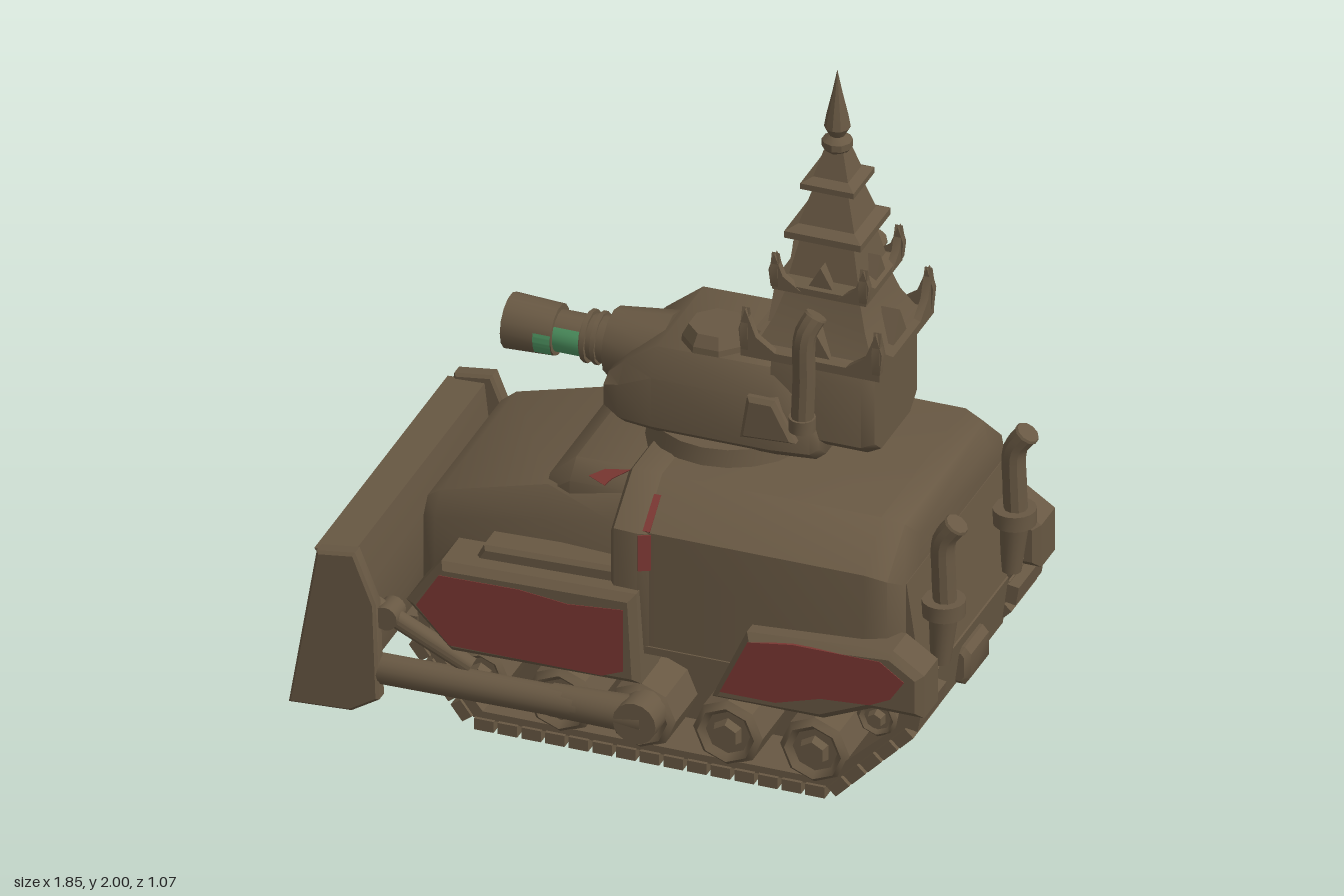
import * as THREE from 'three';
import { toCreasedNormals } from 'three/addons/utils/BufferGeometryUtils.js';

const paint = (name, color) => {
  const m = new THREE.MeshStandardMaterial({ color });
  m.name = name;
  return m;
};

export function createModel() {
  const root = new THREE.Group();
  root.name = 'bulldozerTank';
  const brown = paint('drabBrown', 0x685843);
  const red = paint('fadedRed', 0x7c3833);
  const green = paint('patinaGreen', 0x4f9562);

  const add = (name, geo, x = 0, y = 0, z = 0, mat = brown, crease = 0.6) => {
    const m = new THREE.Mesh(toCreasedNormals(geo, crease), mat);
    m.name = name;
    m.position.set(x, y, z);
    root.add(m);
    return m;
  };
  const box = (name, w, h, d, x, y, z, mat) => add(name, new THREE.BoxGeometry(w, h, d), x, y, z, mat);
  const shapeOf = (pts) => new THREE.Shape(pts.map((p) => new THREE.Vector2(p[0], p[1])));
  // side outline in x, y; width d centred on z
  const prism = (name, pts, d, z = 0, bevel = 0, mat = brown) => {
    const geo = new THREE.ExtrudeGeometry(shapeOf(pts), {
      depth: d - 2 * bevel, bevelEnabled: bevel > 0, bevelThickness: bevel,
      bevelSize: bevel, bevelOffset: -bevel, bevelSegments: 1,
    });
    geo.translate(0, 0, -d / 2 + bevel);
    return add(name, geo, 0, 0, z, mat);
  };
  // cylinder between two points
  const rod = (name, a, b, r0, r1 = r0, sides = 16, mat = brown) => {
    const A = new THREE.Vector3(...a), B = new THREE.Vector3(...b), dir = B.clone().sub(A);
    const m = add(name, new THREE.CylinderGeometry(r1, r0, dir.length(), sides), 0, 0, 0, mat);
    m.position.copy(A).add(B).multiplyScalar(0.5);
    m.quaternion.setFromUnitVectors(new THREE.Vector3(0, 1, 0), dir.normalize());
    return m;
  };
  // body lofted along x; station = [x, halfWidth, topHalfWidth, bottom, shoulder, top]
  const loft = (name, stations) => {
    const rings = stations.map(([x, w, t, b, s, h]) => [
      [x, h, t], [x, s, w], [x, b + 0.04, w], [x, b, w - 0.05],
      [x, b, 0.05 - w], [x, b + 0.04, -w], [x, s, -w], [x, h, -t]]);
    const pos = [];
    const tri = (a, b, c) => pos.push(...a, ...b, ...c);
    for (let i = 0; i + 1 < rings.length; i++) {
      for (let j = 0; j < 8; j++) {
        const k = (j + 1) % 8, p = rings[i], q = rings[i + 1];
        tri(p[j], p[k], q[k]);
        tri(p[j], q[k], q[j]);
      }
    }
    const first = rings[0], last = rings[rings.length - 1];
    for (let j = 1; j < 7; j++) {
      tri(first[0], first[j + 1], first[j]);
      tri(last[0], last[j], last[j + 1]);
    }
    const geo = new THREE.BufferGeometry();
    geo.setAttribute('position', new THREE.Float32BufferAttribute(pos, 3));
    return add(name, geo, 0, 0, 0, brown, 0.8);
  };

  // hull
  prism('lowerHull', [[-0.42, 0.05], [0.68, 0.05], [0.82, 0.2], [0.84, 0.35], [0.78, 0.42], [-0.58, 0.42], [-0.6, 0.28]], 0.55);
  prism('tailPlate', [[0.7, 0.345], [0.838, 0.345], [0.792, 0.66], [0.7, 0.66]], 0.72);
  loft('frontHull', [[-0.62, 0.3, 0.27, 0.26, 0.54, 0.585], [-0.58, 0.32, 0.28, 0.26, 0.55, 0.615],
    [-0.27, 0.335, 0.28, 0.26, 0.62, 0.7], [-0.05, 0.36, 0.28, 0.3, 0.67, 0.75], [0.06, 0.36, 0.28, 0.3, 0.67, 0.77]]);
  loft('engineBonnet', [[-0.28, 0.27, 0.24, 0.58, 0.67, 0.71], [-0.2, 0.3, 0.25, 0.6, 0.735, 0.785], [0.02, 0.3, 0.25, 0.6, 0.74, 0.79]]);
  loft('hullCollar', [[-0.03, 0.43, 0.3, 0.32, 0.69, 0.8], [-0.015, 0.45, 0.31, 0.3, 0.71, 0.82],
    [0.055, 0.455, 0.31, 0.3, 0.71, 0.822], [0.087, 0.438, 0.3, 0.32, 0.705, 0.812]]);
  loft('rearHull', [[0.07, 0.44, 0.31, 0.32, 0.71, 0.82], [0.7, 0.44, 0.31, 0.32, 0.71, 0.82],
    [0.76, 0.42, 0.29, 0.33, 0.69, 0.8], [0.79, 0.37, 0.25, 0.35, 0.66, 0.755]]);
  prism('rearHatch', [[0.8, 0.2], [0.845, 0.2], [0.862, 0.225], [0.862, 0.295], [0.845, 0.315], [0.8, 0.315]], 0.16, 0, 0.015);

  const beltLoop = [[-0.42, 0.035], [0.6, 0.035], [0.83, 0.27], [0.84, 0.33], [0.78, 0.36], [-0.5, 0.36], [-0.58, 0.33], [-0.58, 0.25]];
  const hole = beltLoop.map(([x, y]) => [0.12 + (x - 0.12) * 0.95, 0.2 + (y - 0.2) * 0.86]);
  for (const s of [-1, 1]) {
    // track belt and pads
    const belt = shapeOf(beltLoop);
    belt.holes.push(shapeOf(hole));
    add('trackBelt', new THREE.ExtrudeGeometry(belt, { depth: 0.17, bevelEnabled: false }).translate(0, 0, -0.085), 0, 0, s * 0.36);
    beltLoop.forEach((a, i) => {
      const b = beltLoop[(i + 1) % beltLoop.length];
      const dx = b[0] - a[0], dy = b[1] - a[1], len = Math.hypot(dx, dy), n = Math.max(1, Math.round(len / 0.068));
      for (let k = 0; k < n && i !== 4; k++) {
        const t = (k + 0.5) / n;
        const pad = box('trackPad', 0.056, 0.034, 0.19, a[0] + dx * t + dy / len * 0.014, a[1] + dy * t - dx / len * 0.014, s * 0.36);
        pad.rotation.z = Math.atan2(dy, dx);
      }
    });
    // road wheels with raised rims and hubs
    for (const [x, y, r] of [[-0.4, 0.17, 0.08], [-0.17, 0.14, 0.1], [0.06, 0.14, 0.1], [0.31, 0.14, 0.1], [0.56, 0.14, 0.1], [0.74, 0.28, 0.06]]) {
      rod('roadWheel', [x, y, s * 0.28], [x, y, s * 0.44], r, r, 8);
      add('wheelRim', new THREE.TorusGeometry(r * 0.82, r * 0.18, 4, 8), x, y, s * 0.44);
      rod('wheelHub', [x, y, s * 0.43], [x, y, s * 0.465], r * 0.48, r * 0.36, 6);
    }
    // fenders with painted panels
    prism('frontFender', [[-0.6, 0.38], [-0.5, 0.52], [0.06, 0.535], [0.075, 0.26], [-0.47, 0.25]], 0.17, s * 0.41, 0.02);
    prism('frontFenderPaint', [[-0.565, 0.38], [-0.5, 0.485], [-0.27, 0.49], [-0.13, 0.475], [0.03, 0.49], [0.03, 0.3], [-0.03, 0.275], [-0.47, 0.275]], 0.008, s * 0.493, 0, red);
    prism('rearFender', [[0.28, 0.27], [0.38, 0.49], [0.8, 0.52], [0.89, 0.46], [0.89, 0.33], [0.74, 0.33], [0.6, 0.27]], 0.14, s * 0.43, 0.02);
    prism('rearFenderPaint', [[0.31, 0.3], [0.39, 0.47], [0.52, 0.49], [0.77, 0.49], [0.84, 0.44], [0.8, 0.38], [0.74, 0.35], [0.6, 0.34], [0.47, 0.3]], 0.008, s * 0.498, 0, red);
    prism('fenderBox', [[-0.43, 0.5], [-0.4, 0.56], [0.05, 0.575], [0.05, 0.5]], 0.1, s * 0.38, 0.012);
    // paint worn onto the rear lip of the collar
    box('collarPaint', 0.036, 0.11, 0.006, 0.072, 0.65, s * 0.446, red).rotation.y = s * 0.49;
    box('collarShoulderPaint', 0.024, 0.11, 0.008, 0.073, 0.745, s * 0.396, red).rotation.x = -s * 0.91;

    // dozer arms
    rod('dozerArm', [-0.7, 0.155, s * 0.485], [0.09, 0.165, s * 0.485], 0.043);
    rod('dozerArmSleeve', [-0.18, 0.16, s * 0.48], [0.09, 0.165, s * 0.48], 0.046, 0.053);
    rod('armPivot', [0.075, 0.165, s * 0.43], [0.075, 0.165, s * 0.53], 0.062);
    rod('armStrut', [-0.72, 0.36, s * 0.48], [-0.42, 0.2, s * 0.46], 0.026);
    rod('strutJoint', [-0.65, 0.325, s * 0.44], [-0.65, 0.325, s * 0.51], 0.035);
    prism('bladeEndPlate', [[-0.92, 0.02], [-0.84, 0.505], [-0.73, 0.52], [-0.67, 0.37], [-0.66, 0.08], [-0.74, 0.03]], 0.05, s * 0.505, 0.008);

    // exhaust stacks at the rear and on the turret
    const pipe = (name, pts, r) => {
      add(name, new THREE.TubeGeometry(new THREE.CatmullRomCurve3(pts.map((p) => new THREE.Vector3(...p))), 14, r, 10));
      const end = pts[pts.length - 1], prev = pts[pts.length - 2];
      rod(name + 'Mouth', end, end.map((v, i) => v + (v - prev[i]) * 0.12), r * 1.1, r, 10);
    };
    pipe('rearExhaust', [[0.865, 0.54, s * 0.26], [0.86, 0.65, s * 0.26], [0.862, 0.76, s * 0.26], [0.895, 0.81, s * 0.26]], 0.033);
    rod('exhaustCollar', [0.86, 0.53, s * 0.26], [0.86, 0.575, s * 0.26], 0.06);
    rod('exhaustElbow', [0.86, 0.53, s * 0.26], [0.85, 0.38, s * 0.26], 0.04, 0.028);
    box('exhaustBracket', 0.1, 0.03, 0.05, 0.81, 0.55, s * 0.26);
    pipe('turretExhaust', [[0.445, 1.02, s * 0.24], [0.45, 1.15, s * 0.24], [0.455, 1.3, s * 0.24], [0.475, 1.345, s * 0.22]], 0.031);
    rod('turretExhaustBase', [0.445, 1.0, s * 0.24], [0.445, 1.04, s * 0.24], 0.037);
    // turret cheek box
    prism('turretCheekBox', [[0.26, 0.93], [0.28, 1.06], [0.36, 1.06], [0.42, 0.94]], 0.06, s * 0.205, 0.012);
  }

  // small paint remnants
  const chip = prism('hullPaintChip', [[-0.15, -0.012], [-0.11, 0.015], [-0.04, 0.026], [-0.085, -0.008], [-0.1, -0.03]], 0.008, 0.277, 0, red);
  chip.position.y = 0.762;
  chip.rotation.x = -0.785;
  box('turretPaintChip', 0.09, 0.035, 0.008, 0.13, 1.09, -0.196, red).rotation.x = 0.54;

  // dozer blade
  prism('dozerBlade', [[-0.9, 0.03], [-0.82, 0.11], [-0.785, 0.22], [-0.785, 0.33], [-0.81, 0.43], [-0.86, 0.49],
    [-0.75, 0.495], [-0.735, 0.36], [-0.735, 0.1], [-0.78, 0.03]], 0.98);

  // turret
  rod('turretRing', [0.15, 0.78, 0], [0.15, 0.87, 0], 0.235, 0.22, 20);
  loft('turret', [[-0.15, 0.18, 0.14, 0.88, 0.98, 1.0], [-0.1, 0.2, 0.155, 0.86, 1.0, 1.05], [0, 0.215, 0.17, 0.86, 1.05, 1.125],
    [0.34, 0.215, 0.17, 0.86, 1.05, 1.13], [0.45, 0.2, 0.16, 0.86, 0.98, 1.04], [0.47, 0.18, 0.15, 0.87, 0.94, 0.98]]);
  loft('towerPedestal', [[0.33, 0.18, 0.17, 0.9, 1.12, 1.18], [0.59, 0.18, 0.17, 0.9, 1.12, 1.18], [0.62, 0.155, 0.14, 0.905, 1.12, 1.18]]);
  rod('cupola', [0.14, 1.1, 0.08], [0.14, 1.145, 0.08], 0.1, 0.096, 8).rotateY(Math.PI / 8);
  rod('cupolaLid', [0.14, 1.145, 0.08], [0.14, 1.178, 0.08], 0.096, 0.078, 8).rotateY(Math.PI / 8);

  // gun
  rod('mantlet', [-0.02, 1.01, 0], [-0.19, 1.01, 0], 0.115, 0.095, 12);
  rod('gunSleeve', [-0.18, 1.01, 0], [-0.27, 1.01, 0], 0.07, 0.062, 12);
  for (const x of [-0.22, -0.25]) rod('gunBand', [x, 1.01, 0], [x - 0.013, 1.01, 0], 0.074, 0.074, 12);
  rod('gunBarrel', [-0.26, 1.01, 0], [-0.42, 1.01, 0], 0.057, 0.057, 14);
  rod('muzzle', [-0.345, 1.01, 0], [-0.488, 1.01, 0], 0.072, 0.078, 14);
  rod('muzzleFace', [-0.485, 1.01, 0], [-0.491, 1.01, 0], 0.066, 0.066, 12, green);
  // green coat on the sides and underside; angle 0 faces +z, a quarter turn is up
  const coat = (name, x, len, r, start, sweep) => {
    const geo = new THREE.CylinderGeometry(r, r, len, 16, 1, true, start * Math.PI, sweep * Math.PI);
    add(name, geo.rotateZ(Math.PI / 2), x, 1.01, 0, green);
  };
  coat('barrelCoat', -0.305, 0.085, 0.06, 0.8, 1.4);
  coat('muzzleCoatNear', -0.37, 0.05, 0.077, 1.8, 0.28);
  coat('muzzleCoatFar', -0.37, 0.05, 0.077, 0.92, 0.28);

  // tiered tower: square lathe profile of [half width, height]
  const cx = 0.46, cz = 0.02;
  const profile = [[0, 1.165], [0.17, 1.165], [0.2, 1.18], [0.2, 1.205], [0.165, 1.21], [0.13, 1.28], [0.105, 1.36],
    [0.135, 1.365], [0.135, 1.385], [0.1, 1.4], [0.075, 1.51], [0.11, 1.515], [0.11, 1.535], [0.08, 1.55], [0.05, 1.65],
    [0.077, 1.655], [0.077, 1.672], [0.05, 1.685], [0.028, 1.76]];
  add('towerRoofs', new THREE.LatheGeometry(profile.map(([r, y]) => new THREE.Vector2(r * Math.SQRT2, y)), 4, Math.PI / 4), cx, 0, cz, brown, 0.25);
  const spire = [[0.028, 1.75], [0.042, 1.765], [0.042, 1.785], [0.022, 1.8], [0.036, 1.825], [0.03, 1.86], [0.014, 1.93], [0, 2]];
  add('towerSpire', new THREE.LatheGeometry(spire.map(([r, y]) => new THREE.Vector2(r, y)), 10), cx, 0, cz);

  // upturned roof corners and gables, repeated on four sides
  const horn = (h, t) => new THREE.ExtrudeGeometry(shapeOf([[0, 0], [h * 0.85, 0], [h * 0.35, h * 0.35], [h * 0.1, h], [-0.006, h * 0.5]]),
    { depth: t, bevelEnabled: false });
  for (let q = 0; q < 4; q++) {
    const side = new THREE.Group();
    side.name = 'towerSide';
    side.position.set(cx, 0, cz);
    side.rotation.y = q * Math.PI / 2;
    root.add(side);
    for (const [half, y, h] of [[0.2, 1.2, 0.125], [0.138, 1.375, 0.1]]) {
      for (const s of [-1, 1]) {
        const geo = horn(h, 0.022);
        if (s > 0) geo.rotateY(Math.PI).translate(0, 0, 0.022);
        side.add(add('roofHorn', geo, s * half, y, half - 0.022));
      }
      const gable = new THREE.ExtrudeGeometry(shapeOf([[-h * 0.42, 0], [h * 0.42, 0], [0, h * 0.75]]), { depth: half * 0.35, bevelEnabled: false });
      side.add(add('roofGable', gable, 0, y, half * 0.55));
    }
  }
  return root;
}
